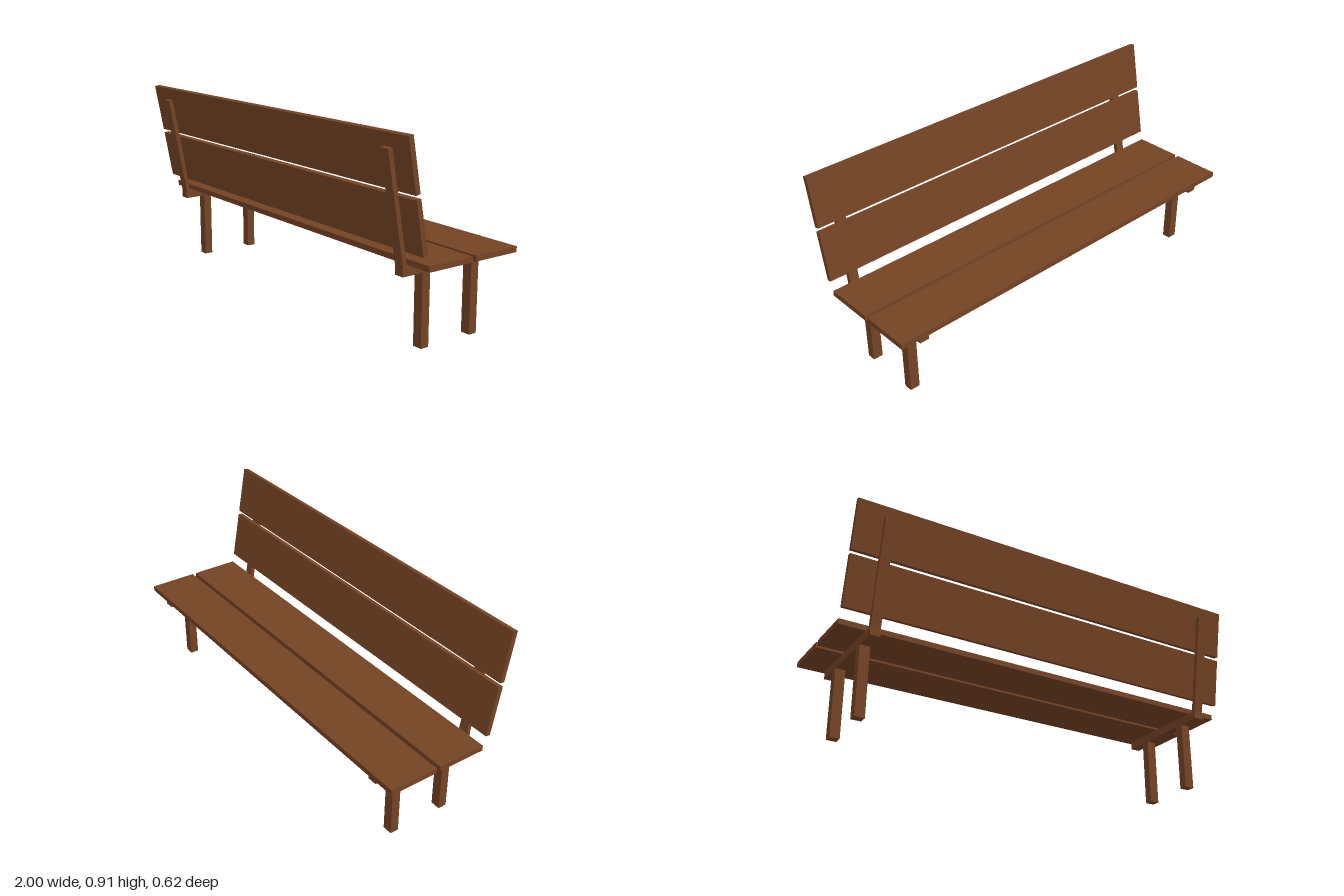
import * as THREE from 'three';

export function createModel() {
  const bench = new THREE.Group();
  bench.name = 'bench';
  const wood = new THREE.MeshStandardMaterial({ color: 0x744324 });
  wood.name = 'brown wood';

  const add = (name, geometry, x, y, z, tilt = 0) => {
    const mesh = new THREE.Mesh(geometry, wood);
    mesh.name = name;
    mesh.position.set(x, y, z);
    mesh.rotation.x = tilt;
    bench.add(mesh);
  };

  // Seat and back planks
  const plank = new THREE.BoxGeometry(2, 0.025, 0.235);
  add('frontSeatPlank', plank, 0, 0.3735, -0.193);
  add('rearSeatPlank', plank, 0, 0.3735, 0.062);
  const backPlank = new THREE.BoxGeometry(2, 0.235, 0.0235);
  add('upperBackPlank', backPlank, 0, 0.7945, 0.2688, 0.18);
  add('lowerBackPlank', backPlank, 0, 0.544, 0.2227, 0.18);

  // Each end frame: a seat rail, a leaning back post and two legs
  const width = 0.047;
  const postShape = new THREE.Shape([
    [-0.2246, 0.361], [-0.204, 0.361], [-0.291, 0.851], [-0.313, 0.847],
  ].map(([a, b]) => new THREE.Vector2(a, b)));
  const postGeometry = new THREE.ExtrudeGeometry(postShape, { depth: width, bevelEnabled: false });
  postGeometry.translate(0, 0, -width / 2).rotateY(Math.PI / 2);
  const railGeometry = new THREE.BoxGeometry(width, 0.037, 0.5166);
  const legGeometry = new THREE.BoxGeometry(width, 0.324, 0.041);

  for (const [side, x] of [['right', -0.853], ['left', 0.873]]) {
    add(side + 'SeatRail', railGeometry, x, 0.3425, -0.0337);
    add(side + 'BackPost', postGeometry, x, 0, 0);
    add(side + 'FrontLeg', legGeometry, x, 0.162, -0.1745);
    add(side + 'RearLeg', legGeometry, x, 0.162, 0.099);
  }
  return bench;
}
